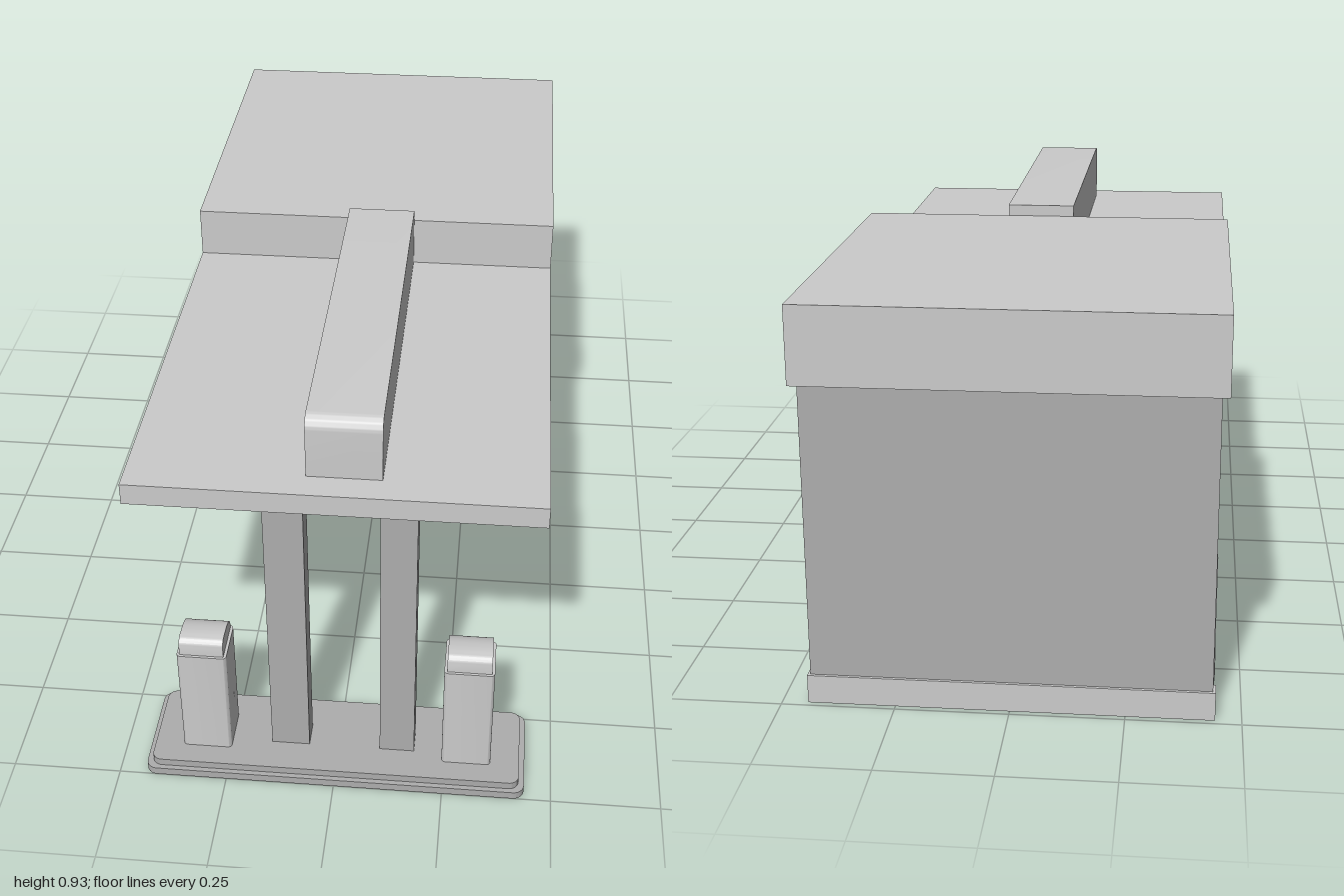
import * as THREE from 'three';
import { toCreasedNormals } from 'three/addons/utils/BufferGeometryUtils.js';

const light = new THREE.MeshStandardMaterial({ color: 0xcccccc });
const dark = new THREE.MeshStandardMaterial({ color: 0xaeaeae });

function add(parent, name, geometry, material) {
  const mesh = new THREE.Mesh(geometry, material);
  mesh.name = name;
  parent.add(mesh);
  return mesh;
}

// Box given by its extents
function box(parent, name, material, x0, x1, y0, y1, z0, z1) {
  const g = new THREE.BoxGeometry(x1 - x0, y1 - y0, z1 - z0);
  g.translate((x0 + x1) / 2, (y0 + y1) / 2, (z0 + z1) / 2);
  return add(parent, name, g, material);
}

function extrude(shape, depth) {
  return new THREE.ExtrudeGeometry(shape, { depth, bevelEnabled: false, curveSegments: 6 });
}

// Upright block with rounded vertical edges
function roundedBlock(parent, name, material, w, d, r, y0, y1, x, z) {
  const s = new THREE.Shape();
  const a = w / 2 - r, b = d / 2 - r;
  s.absarc(a, b, r, 0, Math.PI / 2);
  s.absarc(-a, b, r, Math.PI / 2, Math.PI);
  s.absarc(-a, -b, r, Math.PI, Math.PI * 1.5);
  s.absarc(a, -b, r, Math.PI * 1.5, Math.PI * 2);
  const g = extrude(s, y1 - y0).rotateX(-Math.PI / 2).translate(x, y0, z);
  return add(parent, name, toCreasedNormals(g, 0.6), material);
}

// Side profile drawn in (z, y), swept across x
function sideSweep(parent, name, material, shape, x0, x1) {
  const g = extrude(shape, x1 - x0).rotateY(-Math.PI / 2).translate(x1, 0, 0);
  return add(parent, name, toCreasedNormals(g, 0.6), material);
}

function createShop() {
  const shop = new THREE.Group();
  shop.name = 'shop';
  box(shop, 'walls', dark, -0.437, 0.437, 0, 0.73, -0.98, -0.095);
  box(shop, 'roof', light, -0.453, 0.453, 0.73, 0.903, -1, -0.08);

  // Plinth strips, interrupted at the doorways
  const h = 0.065;
  box(shop, 'plinthFront', light, -0.443, -0.065, 0, h, -0.096, -0.088);
  box(shop, 'plinthFront', light, 0.1, 0.443, 0, h, -0.096, -0.088);
  box(shop, 'plinthBack', light, -0.443, 0.443, 0, h, -0.987, -0.979);
  box(shop, 'plinthRight', light, 0.436, 0.443, 0, h, -0.979, -0.096);
  for (const [z0, z1] of [[-0.979, -0.95], [-0.81, -0.665], [-0.525, -0.096]])
    box(shop, 'plinthLeft', light, -0.443, -0.436, 0, h, z0, z1);

  // Doors
  box(shop, 'frontDoor', light, -0.065, 0.1, 0, 0.362, -0.096, -0.094);
  for (const z of [-0.95, -0.665])
    box(shop, 'sideDoor', dark, -0.439, -0.436, 0, 0.362, z, z + 0.14);
  return shop;
}

function createCanopy() {
  const canopy = new THREE.Group();
  canopy.name = 'canopy';
  box(canopy, 'canopySlab', light, -0.453, 0.453, 0.73, 0.781, -0.08, 0.915);

  // Raised spine with a rounded front edge
  const s = new THREE.Shape();
  s.moveTo(-0.08, 0.781);
  s.lineTo(0.85, 0.781);
  s.lineTo(0.85, 0.9);
  s.absarc(0.82, 0.9, 0.03, 0, Math.PI / 2);
  s.lineTo(-0.08, 0.93);
  sideSweep(canopy, 'canopySpine', light, s, -0.065, 0.1);

  box(canopy, 'column', dark, -0.153, -0.065, 0.037, 0.73, 0.85, 0.91);
  box(canopy, 'column', dark, 0.1, 0.18, 0.037, 0.73, 0.85, 0.91);
  return canopy;
}

function createPump(x) {
  const pump = new THREE.Group();
  pump.name = 'pump';
  roundedBlock(pump, 'pumpBody', light, 0.113, 0.112, 0.009, 0.037, 0.318, 0, 0.881);

  // Hood sloping down toward the back
  const s = new THREE.Shape();
  s.moveTo(0.83, 0.31);
  s.lineTo(0.931, 0.31);
  s.lineTo(0.931, 0.34);
  s.quadraticCurveTo(0.931, 0.361, 0.91, 0.361);
  s.lineTo(0.875, 0.358);
  s.quadraticCurveTo(0.832, 0.351, 0.83, 0.325);
  sideSweep(pump, 'pumpHood', light, s, -0.05, 0.05);
  pump.position.x = x;
  return pump;
}

export function createModel() {
  const model = new THREE.Group();
  model.name = 'fuelStation';
  model.add(createShop(), createCanopy());

  // Two-step island carrying the pumps
  roundedBlock(model, 'islandLower', dark, 0.876, 0.245, 0.025, 0, 0.019, 0, 0.8775);
  roundedBlock(model, 'islandUpper', dark, 0.85, 0.222, 0.022, 0.019, 0.037, 0, 0.8775);
  for (const side of [-1, 1]) model.add(createPump(side * 0.302));
  return model;
}
